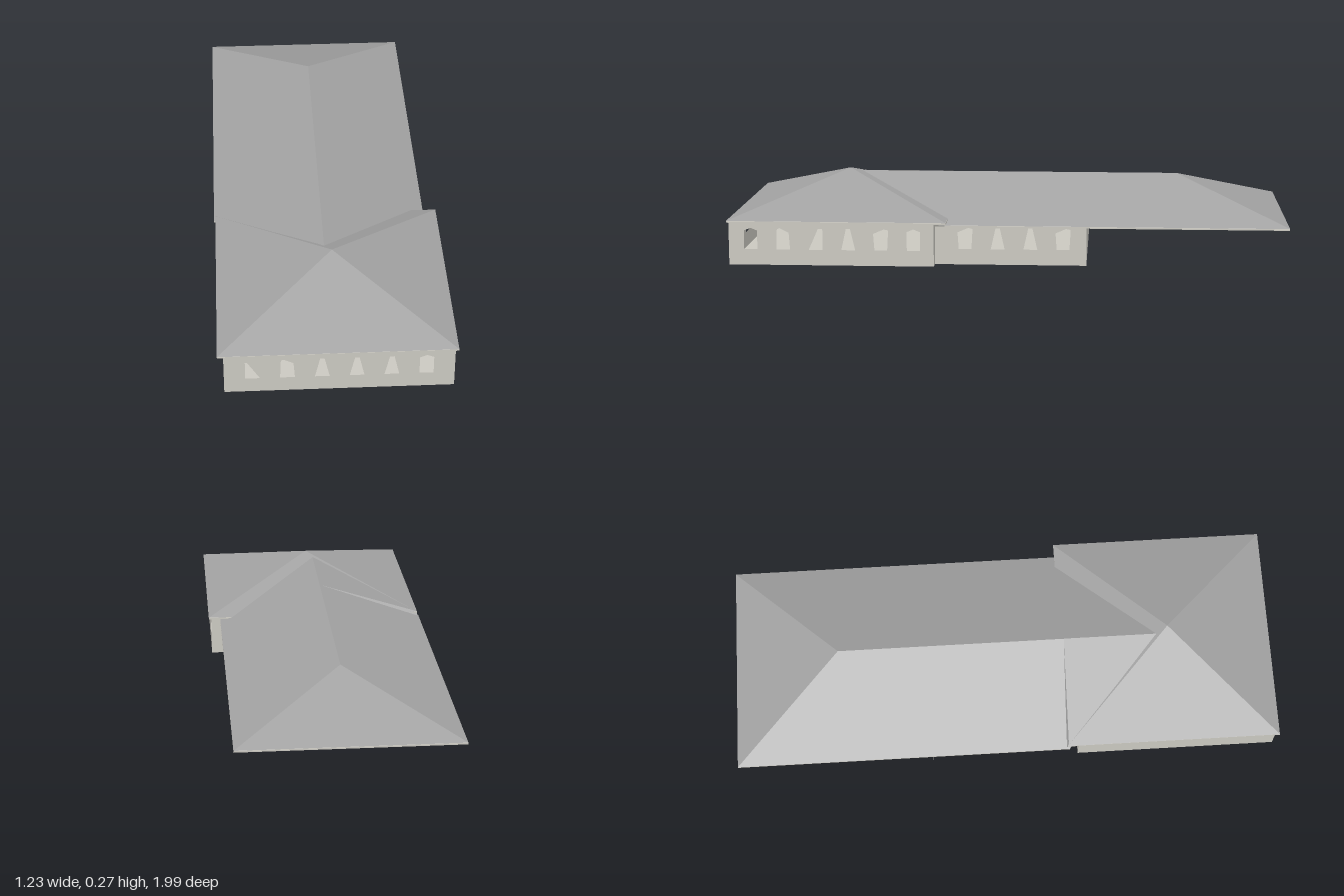
import * as THREE from 'three';

const wallMat = new THREE.MeshStandardMaterial({ color: 0xcac8c0, side: THREE.DoubleSide });
wallMat.name = 'warm plaster';
const roofMat = new THREE.MeshStandardMaterial({ color: 0xa2a2a2, side: THREE.DoubleSide });
roofMat.name = 'grey roofing';

// Window outlines: x from the window centre, y from the ground
const WINDOWS = {
  lean: [[-0.023, 0.052], [0.023, 0.052], [-0.016, 0.115], [-0.023, 0.115]],
  leanRight: [[-0.023, 0.052], [0.023, 0.052], [0.023, 0.122], [0.008, 0.122]],
  slant: [[-0.023, 0.052], [0.023, 0.052], [0.019, 0.109], [-0.012, 0.124], [-0.02, 0.12]],
  slantRight: [[-0.021, 0.052], [0.021, 0.052], [0.025, 0.12], [0.01, 0.123], [-0.025, 0.108]],
  taper: [[-0.023, 0.052], [0.023, 0.052], [0.007, 0.123], [-0.007, 0.123]],
  house: [[-0.022, 0.052], [0.022, 0.052], [0.022, 0.115], [0, 0.124], [-0.022, 0.115]],
  opening: [[-0.02, 0.03], [0.02, 0.03], [0.02, 0.115], [-0.02, 0.115]],
};

// Thin upright wall from one plan point to another; openings are [distance, outline]
function wall(name, [x0, z0], [x1, z1], height, openings = []) {
  const length = Math.hypot(x1 - x0, z1 - z0);
  const shape = new THREE.Shape([[0, 0], [length, 0], [length, height], [0, height]]
    .map(([x, y]) => new THREE.Vector2(x, y)));
  for (const [at, kind] of openings) {
    shape.holes.push(new THREE.Path(WINDOWS[kind].map(([x, y]) => new THREE.Vector2(at + x, y))));
  }
  const mesh = new THREE.Mesh(new THREE.ShapeGeometry(shape), wallMat);
  mesh.name = name;
  mesh.position.set(x0, 0, z0);
  mesh.rotation.y = -Math.atan2(z1 - z0, x1 - x0);
  return mesh;
}

// Flat faces, each a fan over a short list of corners
function faces(name, polygons, material) {
  const pos = [];
  for (const p of polygons) {
    for (let i = 1; i < p.length - 1; i++) pos.push(...p[0], ...p[i], ...p[i + 1]);
  }
  const geo = new THREE.BufferGeometry();
  geo.setAttribute('position', new THREE.Float32BufferAttribute(pos, 3));
  geo.computeVertexNormals();
  const mesh = new THREE.Mesh(geo, material);
  mesh.name = name;
  return mesh;
}

// Box given by its plan limits and heights
function slab(name, x0, x1, z0, z1, y0, y1) {
  const mesh = new THREE.Mesh(new THREE.BoxGeometry(x1 - x0, y1 - y0, z1 - z0), wallMat);
  mesh.name = name;
  mesh.position.set((x0 + x1) / 2, (y0 + y1) / 2, (z0 + z1) / 2);
  return mesh;
}

function floor(name, x0, x1, z0, z1) {
  return faces(name, [[[x0, 0, z0], [x1, 0, z0], [x1, 0, z1], [x0, 0, z1]]], wallMat);
}

// Window positions at a regular spacing along a wall
const row = (start, kinds) => kinds.map((kind, i) => [start + i * 0.108, kind]);

function createPavilion() {
  const g = new THREE.Group();
  g.name = 'frontPavilion';
  const [l, r, b, f, h] = [-0.341, 0.376, 0.233, 0.913, 0.142];
  g.add(
    wall('pavilionFrontWall', [l, f], [r, f], h,
      row(0.089, ['lean', 'slant', 'taper', 'taper', 'taper', 'house'])),
    wall('pavilionRightWall', [r, f], [r, b], h,
      row(0.073, ['house', 'slant', 'leanRight', 'taper', 'slantRight', 'house'])),
    wall('pavilionBackWall', [r, b], [l, b], h),
    wall('pavilionLeftWall', [l, b], [l, f], h),
    floor('pavilionFloor', l, r, b, f),
    slab('pavilionEaves', -0.36, 0.386, 0.193, 0.919, 0.142, 0.147),
  );
  // Pyramid roof
  const y = 0.148;
  const c = [[-0.36, y, 0.919], [0.386, y, 0.919], [0.386, y, 0.193], [-0.36, y, 0.193]];
  const apex = [0.013, 0.27, 0.556];
  g.add(faces('pavilionRoof', c.map((p, i) => [p, c[(i + 1) % 4], apex]), roofMat));
  return g;
}

function createWing() {
  const g = new THREE.Group();
  g.name = 'longWing';
  const [l, r, b, f, h] = [-0.3, 0.334, -0.268, 0.233, 0.127];
  g.add(
    wall('wingRightWall', [r, f], [r, b], h,
      row(0.1, ['slantRight', 'taper', 'taper', 'slantRight'])),
    wall('wingBackWall', [r, b], [-0.346, b], h),
    wall('wingLeftWall', [l, b], [l, f], h, [[0.085, 'opening'], [0.145, 'opening']]),
    floor('wingFloor', l, r, b, f),
    slab('wingEaves', -0.365, 0.345, -0.932, 0.2, 0.127, 0.132),
  );
  // Hipped roof, its front end running into the pavilion roof
  const y = 0.133;
  const bl = [-0.365, y, -0.932], br = [0.345, y, -0.932];
  const fl = [-0.365, y, 0.2], fr = [0.345, y, 0.22];
  const ridgeBack = [-0.01, 0.257, -0.572], ridgeFront = [-0.01, 0.257, 0.517];
  g.add(faces('wingRoof', [
    [br, bl, ridgeBack],
    [bl, fl, ridgeFront, ridgeBack],
    [fr, br, ridgeBack, ridgeFront],
    [fl, fr, ridgeFront],
  ], roofMat));
  // Raised patch joining the left slope to the pavilion, with its step
  const eave = [-0.36, 0.148, 0.197], top = [-0.01, 0.258, 0.2], end = [-0.01, 0.258, 0.517];
  g.add(faces('roofJoin', [
    [eave, end, top],
    [eave, top, [-0.36, 0.134, 0.19]],
  ], roofMat));
  return g;
}

export function createModel() {
  const model = new THREE.Group();
  model.name = 'building';
  const house = new THREE.Group();
  house.name = 'house';
  house.add(createPavilion(), createWing());
  // The whole plan stands at an angle
  house.rotation.y = -0.306;
  model.add(house);
  return model;
}
